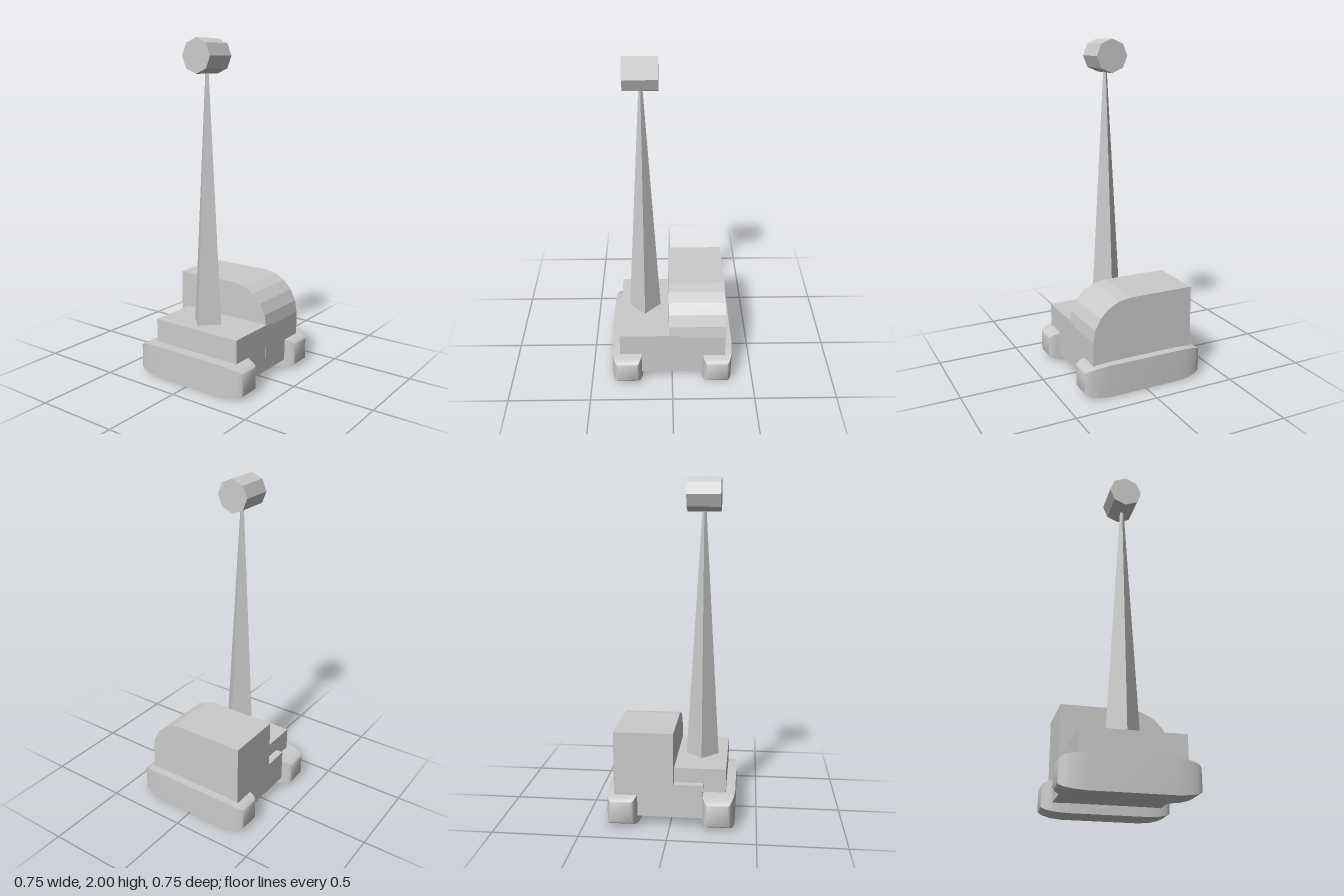
import * as THREE from 'three';
import { toCreasedNormals } from 'three/addons/utils/BufferGeometryUtils.js';

const flat = new THREE.MeshStandardMaterial({ color: 0xcccccc, flatShading: true });
const smooth = new THREE.MeshStandardMaterial({ color: 0xcccccc });

function part(name, geometry, material, x, y, z) {
  const mesh = new THREE.Mesh(geometry, material);
  mesh.name = name;
  mesh.position.set(x, y, z);
  return mesh;
}

// Box given by its min and max corners
function block(name, [x0, y0, z0], [x1, y1, z1]) {
  return part(name, new THREE.BoxGeometry(x1 - x0, y1 - y0, z1 - z0), flat,
    (x0 + x1) / 2, (y0 + y1) / 2, (z0 + z1) / 2);
}

// Track: square bar whose section shrinks along a curve towards both ends
function trackGeometry() {
  const half = 0.097;
  const ends = [[0.23, 0], [0.30, 0.006], [0.344, 0.016], [0.368, 0.027], [0.375, 0.036]]; // z, inset
  const n = ends.length;
  const rings = [...ends].reverse().map(([z, inset]) => [-z, inset]).concat(ends);
  const geometry = new THREE.BoxGeometry(2 * half, 2 * half, 2, 1, 1, 2 * n - 1);
  const pos = geometry.attributes.position;
  for (let i = 0; i < pos.count; i++) {
    const [z, inset] = rings[Math.round((pos.getZ(i) + 1) / 2 * (2 * n - 1))];
    const size = half - inset;
    pos.setXYZ(i, Math.sign(pos.getX(i)) * size, Math.sign(pos.getY(i)) * size, z);
  }
  return toCreasedNormals(geometry, 0.8);
}

// Cab: side profile with a faceted quarter-round front, extruded across x
function cabGeometry(width) {
  const back = -0.32, bottom = 0.14, top = 0.56, r = 0.235, cz = 0.08;
  const shape = new THREE.Shape();
  shape.moveTo(-back, bottom);
  shape.lineTo(-back, top);
  for (let i = 0; i <= 5; i++) {
    const a = (i / 5) * Math.PI / 2;
    shape.lineTo(-(cz + r * Math.sin(a)), top - r + r * Math.cos(a));
  }
  shape.lineTo(-(cz + r), bottom);
  shape.closePath();
  const geometry = new THREE.ExtrudeGeometry(shape, { depth: width, bevelEnabled: false });
  return geometry.rotateY(Math.PI / 2); // profile x becomes -z, depth becomes +x
}

export function createModel() {
  const model = new THREE.Group();
  model.name = 'trackedMastVehicle';

  // Lower body
  model.add(block('chassis', [-0.19, 0.055, -0.315], [0.19, 0.253, 0.314]));
  model.add(block('deck', [-0.32, 0.2, -0.27], [0.05, 0.34, 0.315]));
  model.add(part('cab', cabGeometry(0.345), flat, -0.02, 0, 0));

  // Tracks
  const track = trackGeometry();
  for (const [name, side] of [['leftTrack', 1], ['rightTrack', -1]]) {
    model.add(part(name, track, smooth, side * 0.277, 0.097, 0));
  }

  // Four-sided tapering mast with an eight-sided drum near its tip
  const mastX = -0.168, mastBase = 0.34, mastHeight = 1.66;
  model.add(part('mast', new THREE.ConeGeometry(0.0975, mastHeight, 4), flat,
    mastX, mastBase + mastHeight / 2, 0));
  const drum = new THREE.CylinderGeometry(0.0975, 0.0975, 0.195, 8).rotateZ(Math.PI / 2);
  model.add(part('drum', drum, flat, mastX, 1.887, 0));

  return model;
}
